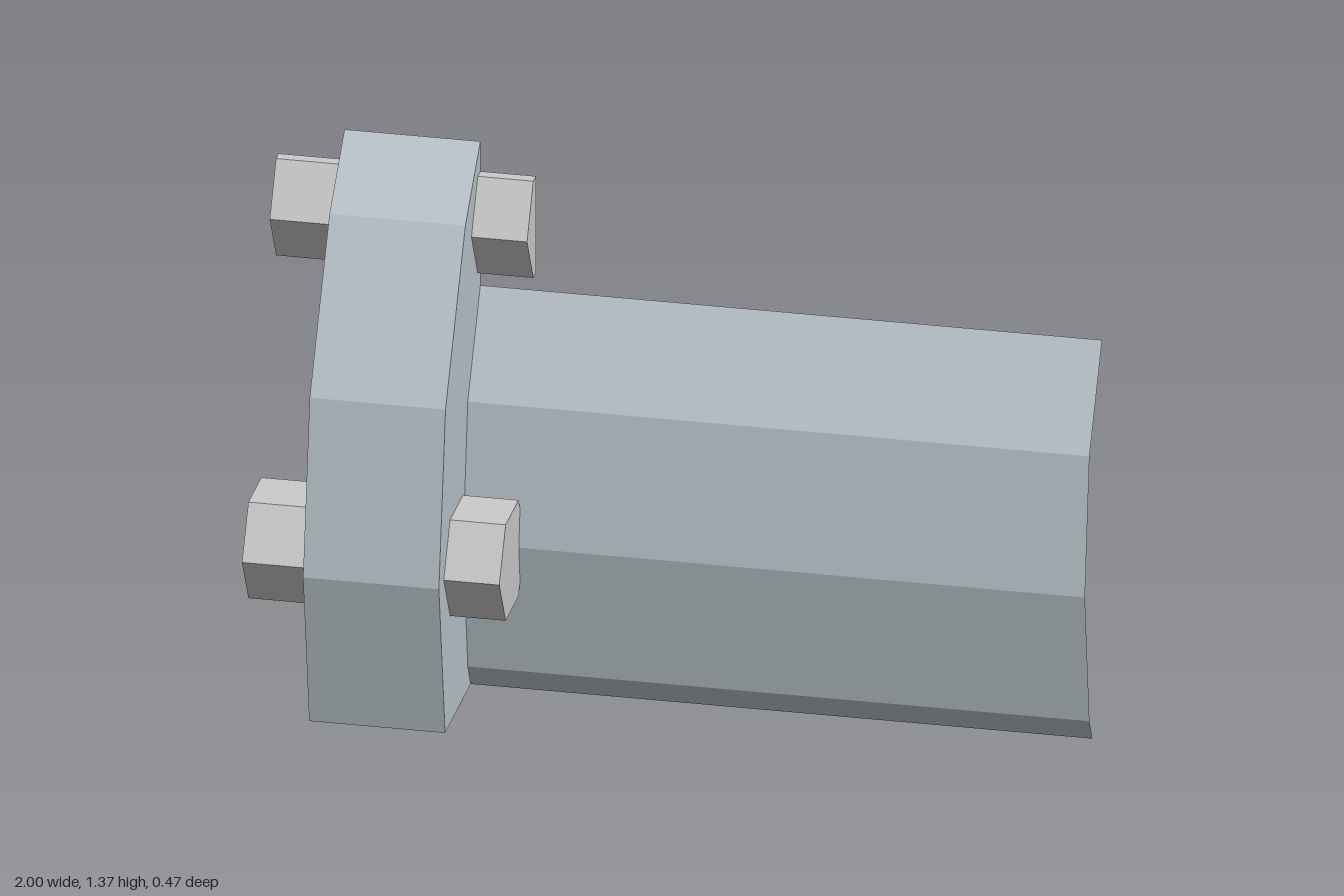
import * as THREE from 'three';

const BACK = -0.235;

// Profiles as [z, y], running from the bottom up around the front
const FLANGE = [[0.165, 0], [0.235, 0.405], [0.16, 0.84], [-0.065, 1.22], [BACK, 1.365]];
const PIPE = [[-0.125, 0], [-0.092, 0.06], [-0.04, 0.405], [-0.092, 0.75], [BACK, 0.99]];
const LOWER_BOLT = [[-0.038, 0.28], [0.108, 0.28], [0.181, 0.405], [0.108, 0.53], [-0.038, 0.53], [-0.111, 0.405]];
const UPPER_BOLT = [[BACK, 1.035], [-0.205, 1.035], [-0.134, 1.16], [-0.205, 1.287], [BACK, 1.287]];

const steel = new THREE.MeshStandardMaterial({ color: 0xb9c4ca, flatShading: true, side: THREE.DoubleSide });
const grey = new THREE.MeshStandardMaterial({ color: 0xcccccc, flatShading: true, side: THREE.DoubleSide });

// Thin wall that sweeps a profile along x
function wall(profile, x0, x1, closed = false) {
  const pos = [];
  const count = closed ? profile.length : profile.length - 1;
  for (let i = 0; i < count; i++) {
    const [za, ya] = profile[i];
    const [zb, yb] = profile[(i + 1) % profile.length];
    pos.push(x0, ya, za, x1, ya, za, x1, yb, zb);
    pos.push(x0, ya, za, x1, yb, zb, x0, yb, zb);
  }
  const g = new THREE.BufferGeometry();
  g.setAttribute('position', new THREE.Float32BufferAttribute(pos, 3));
  g.computeVertexNormals();
  return g;
}

// Flat plate across a profile, facing +x (dir 1) or -x (dir -1)
function plate(profile, x, dir) {
  const shape = new THREE.Shape(profile.map(([z, y]) => new THREE.Vector2(-dir * z, y)));
  return new THREE.ShapeGeometry(shape).rotateY(dir * Math.PI / 2).translate(x, 0, 0);
}

export function createModel() {
  const model = new THREE.Group();
  const group = (name, material, parts) => {
    const g = new THREE.Group();
    g.name = name;
    for (const [part, geometry] of Object.entries(parts)) {
      const mesh = new THREE.Mesh(geometry, material);
      mesh.name = part;
      g.add(mesh);
    }
    model.add(g);
  };

  // Collar: open at the back and underneath
  const collar = [...FLANGE, [BACK, 0]];
  group('collar', steel, {
    collarRim: wall(FLANGE, -0.84, -0.51),
    collarInnerPlate: plate(collar, -0.51, 1),
    collarOuterPlate: plate(collar, -0.84, -1),
  });

  // Half pipe: open at the far end, closed inside the collar
  group('pipe', steel, {
    pipeWall: wall(PIPE, -0.675, 1),
    pipeEnd: plate([...PIPE, [BACK, 0]], -0.675, -1),
  });

  // Hexagonal bolts, hollow, closed on the pipe side
  group('lowerBolt', grey, {
    lowerBoltSides: wall(LOWER_BOLT, -1, -0.375, true),
    lowerBoltEnd: plate(LOWER_BOLT, -0.375, 1),
  });
  group('upperBolt', grey, {
    upperBoltSides: wall(UPPER_BOLT, -1, -0.375),
    upperBoltEnd: plate(UPPER_BOLT, -0.375, 1),
  });

  return model;
}
